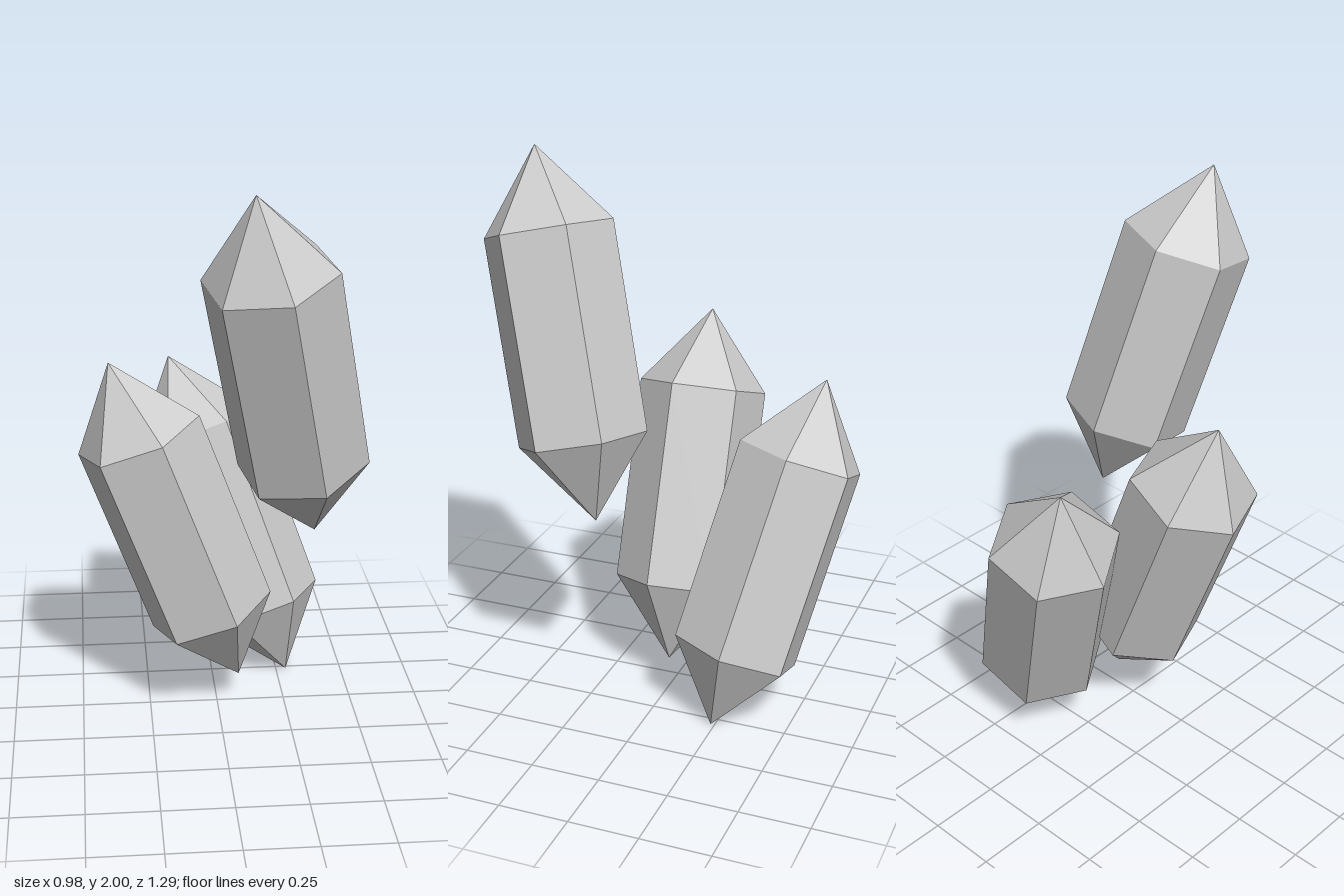
import * as THREE from 'three';

const LENGTH = 1.306; // tip to tip
const RADIUS = 0.231;
const CAP = 0.22; // share of the length taken by each point

// Six-sided prism pointed at both ends, standing along y with an edge at +z
function crystalGeometry() {
  const half = LENGTH / 2;
  const shoulder = half - LENGTH * CAP;
  const profile = [
    new THREE.Vector2(0, -half),
    new THREE.Vector2(RADIUS, -shoulder),
    new THREE.Vector2(RADIUS, shoulder),
    new THREE.Vector2(0, half),
  ];
  return new THREE.LatheGeometry(profile, 6);
}

// Tips of each crystal, and the direction from its axis to one long edge
const crystals = [
  { name: 'upperCrystal', top: [0.08, 2.0, 0.49], bottom: [0.328, 0.76, 0.18], edge: [0.215, 0.025, 0.075] },
  { name: 'leaningCrystal', top: [-0.38, 1.335, -0.0 + 0.01], bottom: [0.08, 0.115, 0.005], edge: [0.214, 0.08, 0.04] },
  { name: 'rearCrystal', top: [-0.146, 1.208, -0.5], bottom: [0.288, 0.002, -0.235], edge: [0.219, 0.076, -0.013] },
];

export function createModel() {
  const group = new THREE.Group();
  group.name = 'crystalCluster';
  const geometry = crystalGeometry();
  const material = new THREE.MeshStandardMaterial({ color: 0xcccccc, flatShading: true });

  for (const { name, top, bottom, edge } of crystals) {
    const a = new THREE.Vector3(...top);
    const b = new THREE.Vector3(...bottom);
    const y = a.clone().sub(b).normalize();
    const x = y.clone().cross(new THREE.Vector3(...edge)).normalize();
    const z = x.clone().cross(y);

    const mesh = new THREE.Mesh(geometry, material);
    mesh.name = name;
    mesh.quaternion.setFromRotationMatrix(new THREE.Matrix4().makeBasis(x, y, z));
    mesh.position.copy(a).add(b).multiplyScalar(0.5);
    group.add(mesh);
  }
  return group;
}
